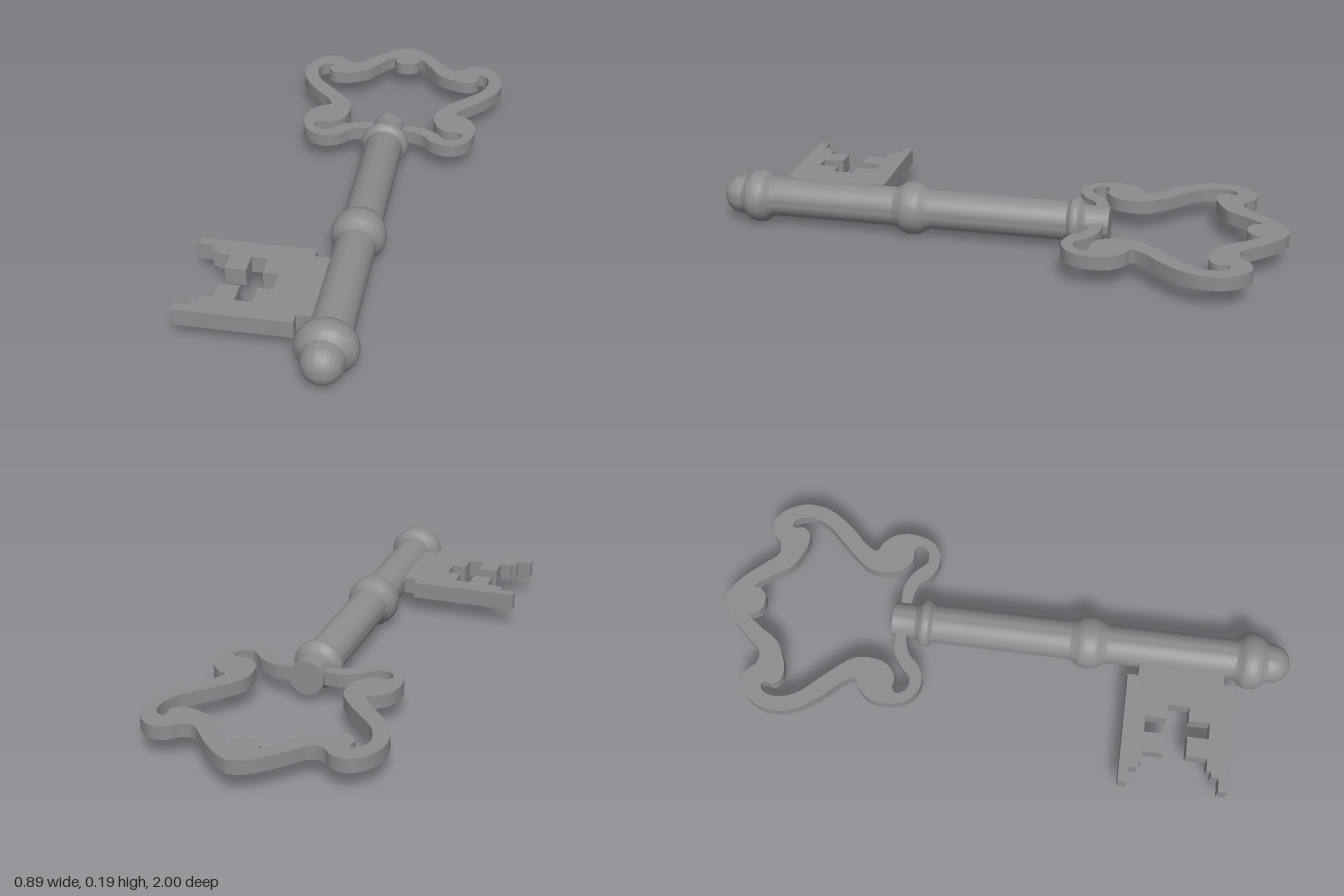
import * as THREE from 'three';
import { toCreasedNormals } from 'three/addons/utils/BufferGeometryUtils.js';

const AXIS_X = 0.052, AXIS_Y = 0.095;
const material = new THREE.MeshStandardMaterial({ color: 0x8c8c8c });

function addMesh(group, name, geometry, crease = 0.6) {
  const mesh = new THREE.Mesh(toCreasedNormals(geometry, crease), material);
  mesh.name = name;
  group.add(mesh);
  return mesh;
}

// Turned part along z from [radius, z] pairs
function turned(group, name, profile) {
  const points = profile.map(([r, z]) => new THREE.Vector2(r, z));
  const geometry = new THREE.LatheGeometry(points, 48).rotateX(Math.PI / 2);
  const mesh = addMesh(group, name, geometry);
  mesh.position.set(AXIS_X, AXIS_Y, 0);
  return mesh;
}

// Rounded bead with a concave flare on each side
function collar(group, name, z, radius, base, halfLength) {
  const rise = radius - base;
  const half = [[base - 0.003, 1], [base + rise * 0.08, 0.82], [base + rise * 0.42, 0.6],
    [base + rise * 0.8, 0.4], [base + rise * 0.96, 0.2]];
  const curve = new THREE.SplineCurve([
    ...half.map(([r, t]) => [r, -t]), [radius, 0], ...half.slice().reverse(),
  ].map(([r, t]) => new THREE.Vector2(r, z + t * halfLength)));
  return turned(group, name, curve.getPoints(32).map(p => [p.x, p.y]));
}

// Flat plate in the xz plane, centred on the shaft height
function plate(shape, thickness) {
  return new THREE.ExtrudeGeometry(shape, { depth: thickness, bevelEnabled: false })
    .rotateX(Math.PI / 2).translate(0, AXIS_Y + thickness / 2, 0);
}

// Mirror a half outline (in thousandths) about x = 0 and smooth it to a closed loop
function mirroredLoop(half) {
  const other = half.slice(1, -1).reverse().map(([x, z]) => [-x, z]);
  const points = [...half, ...other].map(([x, z]) => new THREE.Vector3(x / 1000, z / 1000, 0));
  return new THREE.CatmullRomCurve3(points, true, 'centripetal').getPoints(points.length * 5)
    .slice(0, -1).map(p => new THREE.Vector2(p.x, p.y));
}

export function createModel() {
  const key = new THREE.Group();
  key.name = 'key';

  // Shaft with a rounded tip and narrower rear stub
  const tip = [];
  for (let i = 0; i <= 12; i++) {
    const a = (i / 12) * Math.PI / 2;
    tip.push([0.069 * Math.cos(a), 0.931 + 0.069 * Math.sin(a)]);
  }
  tip[12][0] = 0;
  turned(key, 'shaft', [[0, -0.398], [0.06, -0.398], [0.06, -0.3], [0.068, -0.27], ...tip]);

  // Collars
  collar(key, 'frontCollar', 0.863, 0.1, 0.068, 0.07).scale.y = 0.94;
  collar(key, 'middleCollar', 0.295, 0.093, 0.068, 0.075);
  collar(key, 'rearCollar', -0.282, 0.086, 0.064, 0.036);

  // Scrolled bow
  const outer = [
    [0, -1000], [42, -986], [100, -939], [148, -886], [190, -844], [232, -849],
    [259, -875], [312, -886], [359, -854], [391, -791], [391, -722], [365, -659],
    [312, -590], [264, -540], [243, -497], [275, -480], [312, -438], [322, -374],
    [301, -304], [259, -272], [217, -267], [169, -288], [132, -325], [74, -342], [0, -342],
  ];
  const inner = [
    [0, -380], [63, -380], [116, -380], [174, -353], [222, -309], [264, -316],
    [280, -347], [264, -363], [222, -363], [180, -395], [164, -443], [169, -508],
    [206, -562], [269, -630], [322, -690], [343, -754], [333, -801], [306, -817],
    [296, -807], [301, -775], [275, -749], [232, -749], [190, -764], [143, -791],
    [100, -854], [63, -902], [53, -907], [48, -886], [26, -865], [0, -860],
  ];
  const bowShape = new THREE.Shape(mirroredLoop(outer));
  bowShape.holes.push(new THREE.Path(mirroredLoop(inner)));
  addMesh(key, 'bow', plate(bowShape, 0.047)).position.x = AXIS_X;

  // Notched bit
  const bit = [
    [0.04, 0.477], [-0.06, 0.477], [-0.06, 0.44], [-0.445, 0.44], [-0.445, 0.472],
    [-0.39, 0.472], [-0.39, 0.503], [-0.37, 0.503], [-0.37, 0.514], [-0.33, 0.514],
    [-0.33, 0.585], [-0.26, 0.585], [-0.26, 0.514], [-0.205, 0.514], [-0.205, 0.588],
    [-0.155, 0.588], [-0.155, 0.662], [-0.205, 0.662], [-0.205, 0.735], [-0.26, 0.735],
    [-0.26, 0.662], [-0.33, 0.662], [-0.33, 0.735], [-0.37, 0.735], [-0.37, 0.751],
    [-0.39, 0.751], [-0.39, 0.778], [-0.44, 0.778], [-0.44, 0.81], [-0.06, 0.81],
    [-0.06, 0.773], [0.04, 0.773],
  ];
  const bitShape = new THREE.Shape(bit.map(([x, z]) => new THREE.Vector2(x, z)));
  addMesh(key, 'bit', plate(bitShape, 0.06));

  return key;
}
